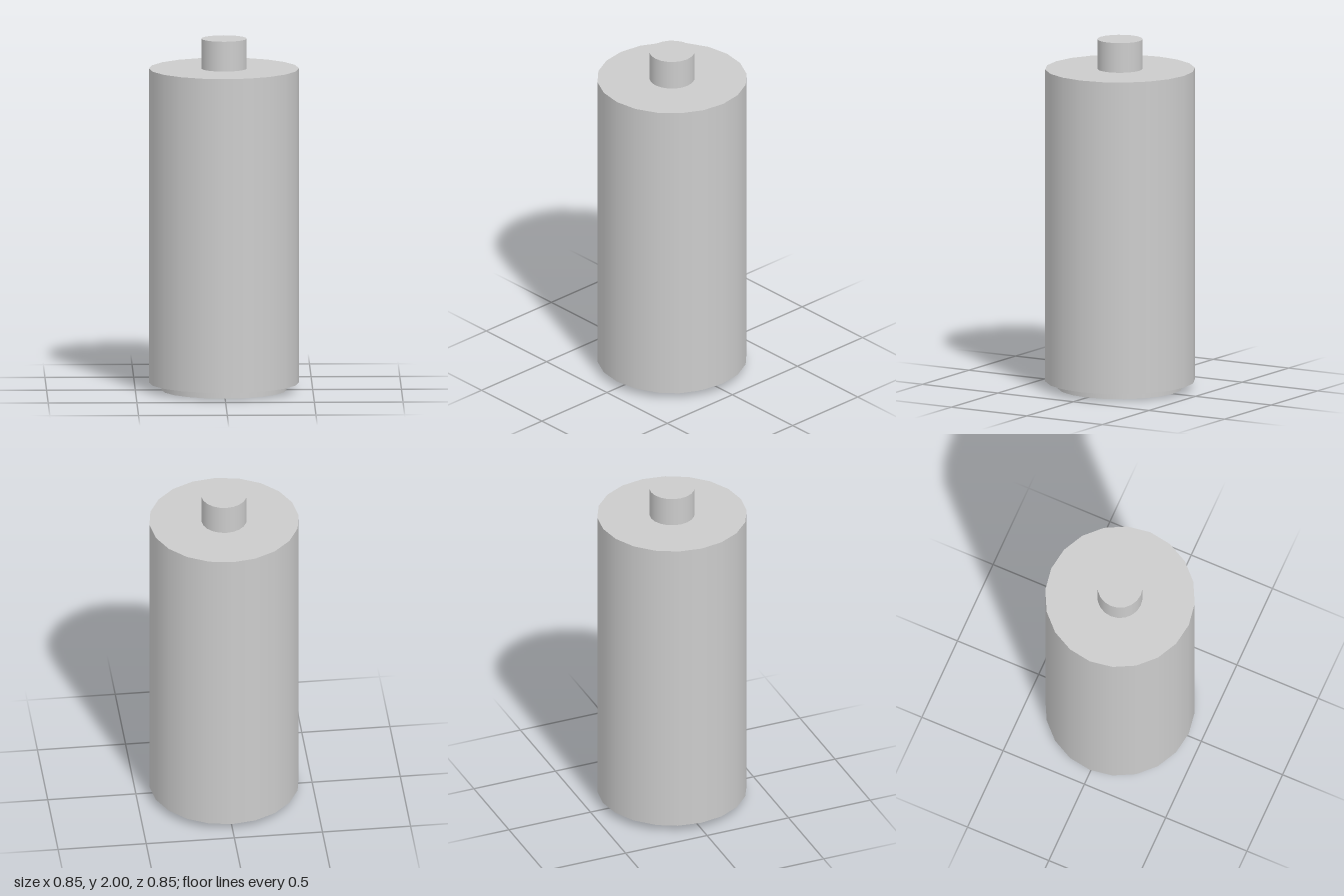
import * as THREE from 'three';

const SIDES = 20;

// Upright capped cylinder spanning bottom..top
function disc(name, radius, bottom, top, material) {
  const geometry = new THREE.CylinderGeometry(radius, radius, top - bottom, SIDES);
  const mesh = new THREE.Mesh(geometry, material);
  mesh.name = name;
  mesh.position.y = (bottom + top) / 2;
  return mesh;
}

export function createModel() {
  const material = new THREE.MeshStandardMaterial({ color: 0xcccccc });
  const battery = new THREE.Group();
  battery.name = 'battery';
  battery.add(
    disc('negativeTerminal', 0.352, 0, 0.042, material),
    disc('body', 0.423, 0.042, 1.83, material),
    disc('positiveTerminal', 0.128, 1.83, 2, material),
  );
  return battery;
}
